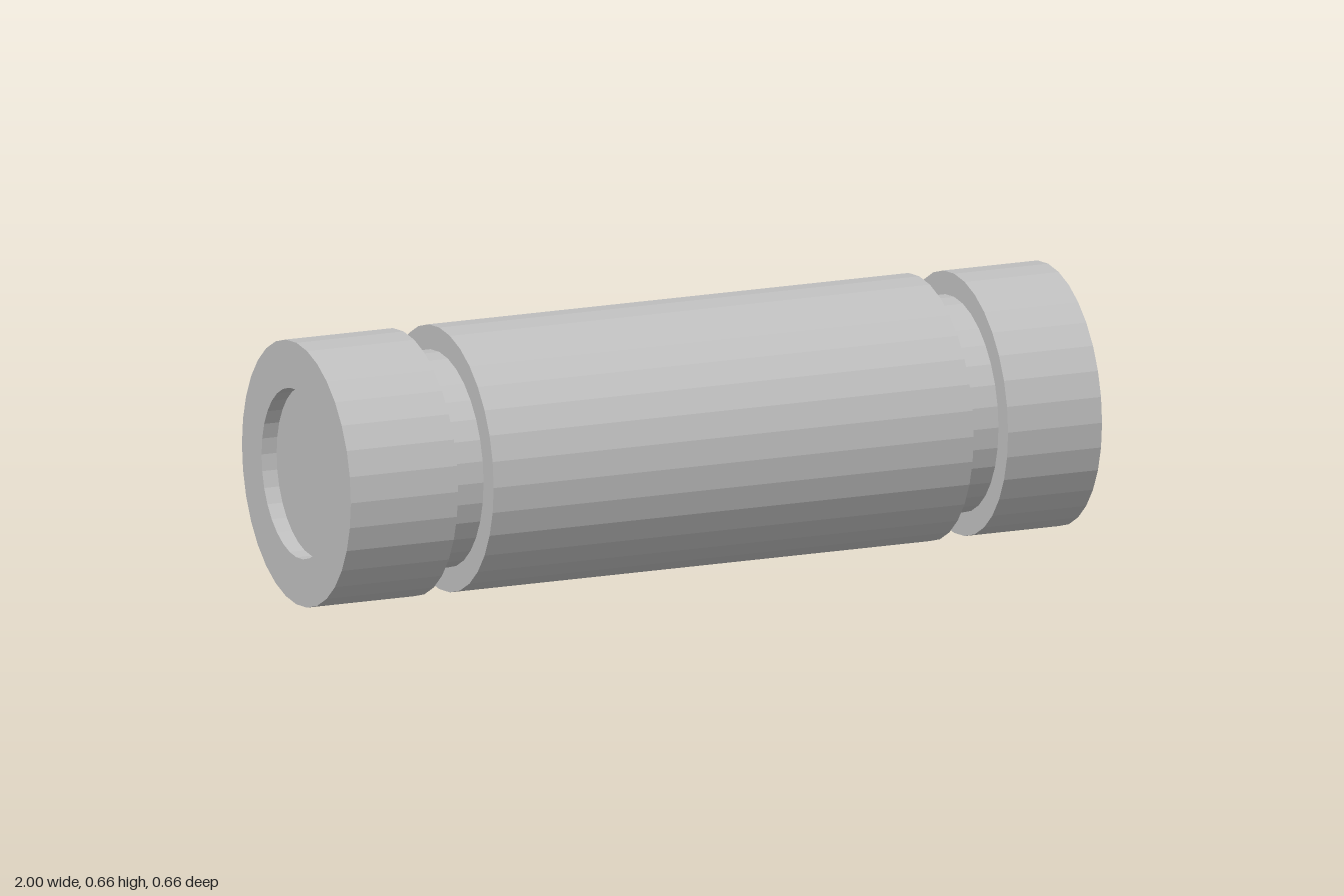
import * as THREE from 'three';

const SIDES = 32;
const R_BODY = 0.328;    // main barrel and left collar
const R_RIGHT = 0.325;   // right collar is very slightly slimmer
const R_GROOVE = 0.267;
const R_RECESS = 0.21;
const DEPTH = 0.04;      // end recess depth

export function createModel() {
  const group = new THREE.Group();
  group.name = 'groovedCylinder';
  const grey = new THREE.MeshStandardMaterial({ color: 0xc0c0c0 });
  grey.name = 'plain grey';

  // Faceted surface of revolution about the x axis; profile is [radius, x] pairs running toward +x
  function turned(name, profile) {
    const points = profile.map(([r, x]) => new THREE.Vector2(r, x));
    const geometry = new THREE.LatheGeometry(points, SIDES).rotateZ(-Math.PI / 2).toNonIndexed();
    geometry.computeVertexNormals();
    const mesh = new THREE.Mesh(geometry, grey);
    mesh.name = name;
    group.add(mesh);
  }

  // Right end collar (-x) with its recess
  turned('rightCollar', [
    [0, -1 + DEPTH], [R_RECESS, -1 + DEPTH], [R_RECESS, -1],
    [R_BODY, -1], [R_BODY, -0.715], [R_GROOVE, -0.715],
  ]);
  turned('rightGroove', [[R_GROOVE, -0.715], [R_GROOVE, -0.62]]);

  // Long central barrel
  turned('barrel', [
    [R_GROOVE, -0.62], [R_BODY, -0.62], [R_BODY, 0.657], [R_GROOVE, 0.657],
  ]);

  // Left end collar (+x) with its recess
  turned('leftGroove', [[R_GROOVE, 0.657], [R_GROOVE, 0.75]]);
  turned('leftCollar', [
    [R_GROOVE, 0.75], [R_RIGHT, 0.75], [R_RIGHT, 1],
    [R_RECESS, 1], [R_RECESS, 1 - DEPTH], [0, 1 - DEPTH],
  ]);

  // Rest the cylinder on the ground plane
  group.children.forEach((mesh) => { mesh.position.y = R_BODY; });
  return group;
}
